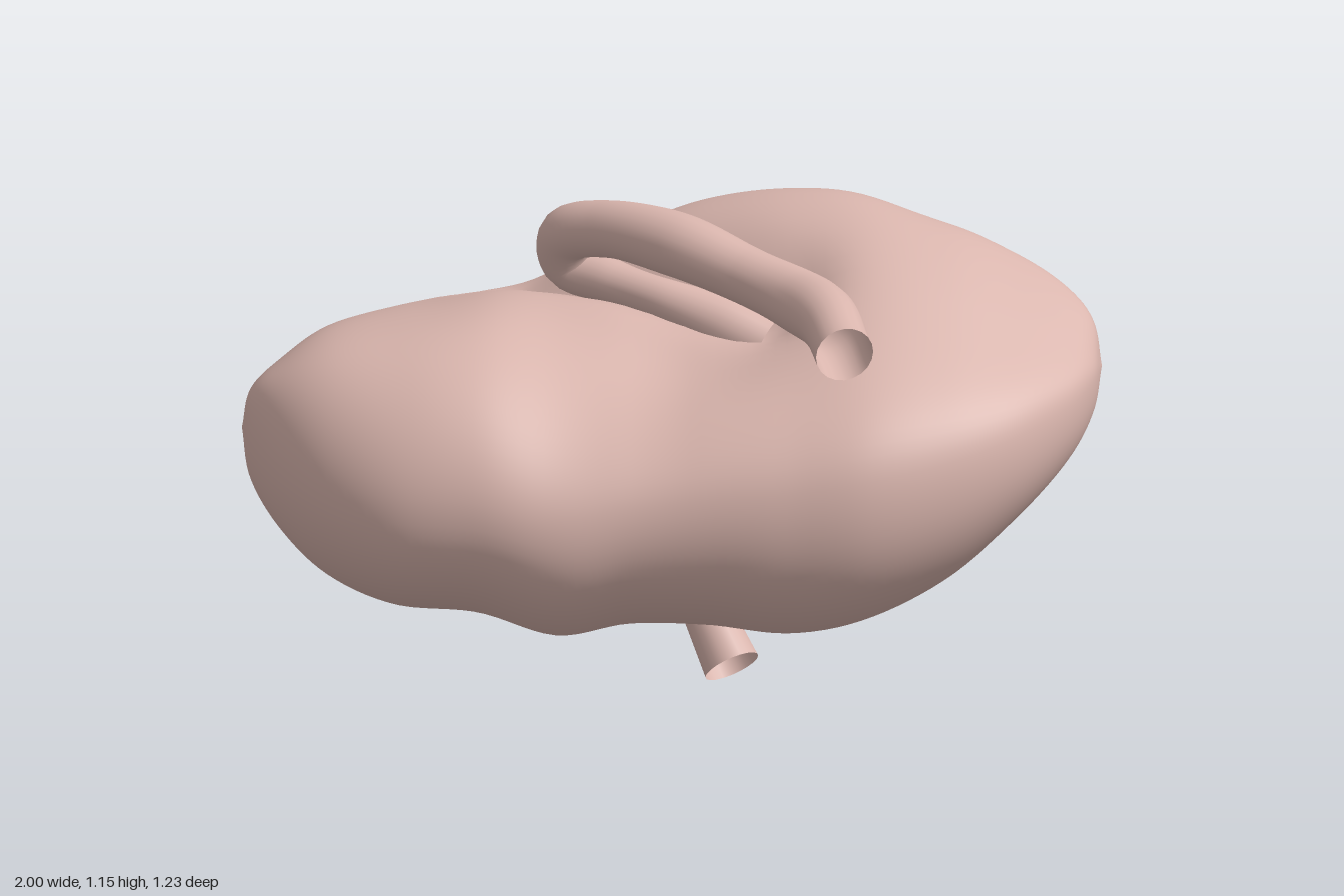
import * as THREE from 'three';

const flesh = new THREE.MeshStandardMaterial({ color: 0xd9b5ad, side: THREE.DoubleSide });
const v = (p) => new THREE.Vector3(...p);
const step = THREE.MathUtils.smoothstep;

// Stations along the organ: x, top y, bottom y, back z, front z
const stations = [
  [-1.0, 0.60, 0.60, 0.01, 0.01],
  [-0.98, 0.70, 0.49, -0.08, 0.13],
  [-0.91, 0.77, 0.385, -0.21, 0.27],
  [-0.80, 0.83, 0.285, -0.39, 0.39],
  [-0.64, 0.865, 0.225, -0.505, 0.485],
  [-0.45, 0.89, 0.21, -0.56, 0.525],
  [-0.27, 0.90, 0.16, -0.605, 0.54],
  [-0.10, 0.955, 0.19, -0.625, 0.535],
  [0.08, 1.02, 0.185, -0.61, 0.54],
  [0.27, 1.07, 0.17, -0.56, 0.545],
  [0.46, 1.09, 0.21, -0.51, 0.54],
  [0.64, 1.05, 0.295, -0.44, 0.47],
  [0.80, 0.97, 0.43, -0.34, 0.36],
  [0.92, 0.9, 0.55, -0.22, 0.22],
  [0.98, 0.84, 0.65, -0.11, 0.1],
  [1.0, 0.75, 0.75, -0.01, -0.01],
];

// Distance in plan from the line of the hollow on top
function hollowDistance(x, z) {
  const a = [-0.36, -0.33], d = [0.6, 0.35];
  const t = THREE.MathUtils.clamp(((x - a[0]) * d[0] + (z - a[1]) * d[1]) / (d[0] ** 2 + d[1] ** 2), 0, 1);
  return Math.hypot(x - a[0] - t * d[0], z - a[1] - t * d[1]);
}

// Round dent of given centre and radius in plan
const dent = (x, z, cx, cz, r) => Math.exp(-((x - cx) ** 2 + (z - cz) ** 2) / (r * r));

// Leaning oval cross-sections swept along x, with a hollow pressed into the top
function bodyGeometry() {
  const topBack = new THREE.CatmullRomCurve3(stations.map((s) => v([s[0], s[1], s[3]])), false, 'catmullrom');
  const lowFront = new THREE.CatmullRomCurve3(stations.map((s) => v([s[0], s[2], s[4]])), false, 'catmullrom');
  const rings = 100, sides = 80;
  const bulge = (c) => Math.sign(c) * Math.abs(c) ** 0.96;
  const pos = [], idx = [];
  for (let i = 0; i <= rings; i++) {
    const a = topBack.getPoint(i / rings), b = lowFront.getPoint(i / rings);
    const yc = (a.y + b.y) / 2, h = (a.y - b.y) / 2;
    const zc = (a.z + b.z) / 2, w = (b.z - a.z) / 2;
    // The crest twists from the front on the low lobe to the back on the tall one
    const twist = step(a.x, -0.6, 0.05);
    const lean = 0.1 + 0.1 * twist, crest = -0.3 + 0.74 * twist;
    for (let j = 0; j < sides; j++) {
      const q = (j / sides) * Math.PI * 2;
      const tilt = q - lean - crest * Math.max(0, Math.sin(q)) ** 2;
      const lump = 1 + 0.01 * Math.sin(7 * a.x + 3 * q) * Math.sin(5 * a.x - 2 * q);
      const z = zc + w * bulge(Math.cos(q)) * lump;
      let y = yc + h * bulge(Math.sin(tilt)) * lump;
      const upper = step(Math.sin(tilt), 0.1, 0.7);
      y -= upper * (0.09 * Math.exp(-((hollowDistance(a.x, z) / 0.1) ** 2))
        + 0.05 * dent(a.x, z, 0.12, 0.17, 0.2) + 0.05 * dent(a.x, z, 0.6, -0.34, 0.2));
      pos.push(a.x, y, z);
      if (i < rings) {
        const k = (j + 1) % sides, p = i * sides, n = p + sides;
        idx.push(p + j, n + j, p + k, n + j, n + k, p + k);
      }
    }
  }
  const g = new THREE.BufferGeometry();
  g.setAttribute('position', new THREE.Float32BufferAttribute(pos, 3));
  g.setIndex(idx);
  g.computeVertexNormals();
  return g;
}

// Open tube whose radius follows a function of its length
function vessel(name, points, radius, segments) {
  const curve = new THREE.CatmullRomCurve3(points.map(v));
  const sides = 20;
  const g = new THREE.TubeGeometry(curve, segments, 1, sides);
  const p = g.attributes.position, n = g.attributes.normal;
  for (let i = 0; i <= segments; i++) {
    const c = curve.getPointAt(i / segments), r = radius(i / segments);
    for (let j = 0; j <= sides; j++) {
      const k = i * (sides + 1) + j;
      p.setXYZ(k, c.x + n.getX(k) * r, c.y + n.getY(k) * r, c.z + n.getZ(k) * r);
    }
  }
  const mesh = new THREE.Mesh(g, flesh);
  mesh.name = name;
  return mesh;
}

export function createModel() {
  const group = new THREE.Group();
  group.name = 'organ';
  const body = new THREE.Mesh(bodyGeometry(), flesh);
  body.name = 'body';
  group.add(body);

  // Long vessel rising from the hollow, doubling back and running to the front
  group.add(vessel('loopedVessel', [
    [0.22, 0.81, 0.03], [0.12, 0.85, -0.01], [0.0, 0.88, -0.07], [-0.14, 0.9, -0.16],
    [-0.24, 0.93, -0.205], [-0.245, 1.01, -0.17], [-0.15, 1.06, -0.08], [0.02, 1.075, 0.07],
    [0.18, 1.04, 0.18], [0.29, 1.025, 0.29], [0.365, 1.025, 0.43], [0.405, 1.0, 0.59],
  ], (t) => 0.052 + 0.02 * step(t, 0.2, 0.5) + 0.02 * Math.exp(-((t / 0.1) ** 2)) + 0.004 * Math.sin(t * 24), 90));

  // Short stubs below and at the back
  group.add(vessel('lowerStub', [[0.05, 0.21, -0.01], [0.09, 0.14, 0.05], [0.14, 0.05, 0.12]],
    (t) => 0.052 + 0.015 * t, 12));
  group.add(vessel('backStub', [[-0.56, 0.38, -0.36], [-0.61, 0.345, -0.45], [-0.65, 0.34, -0.525]],
    (t) => 0.035 + 0.015 * t, 12));
  return group;
}
